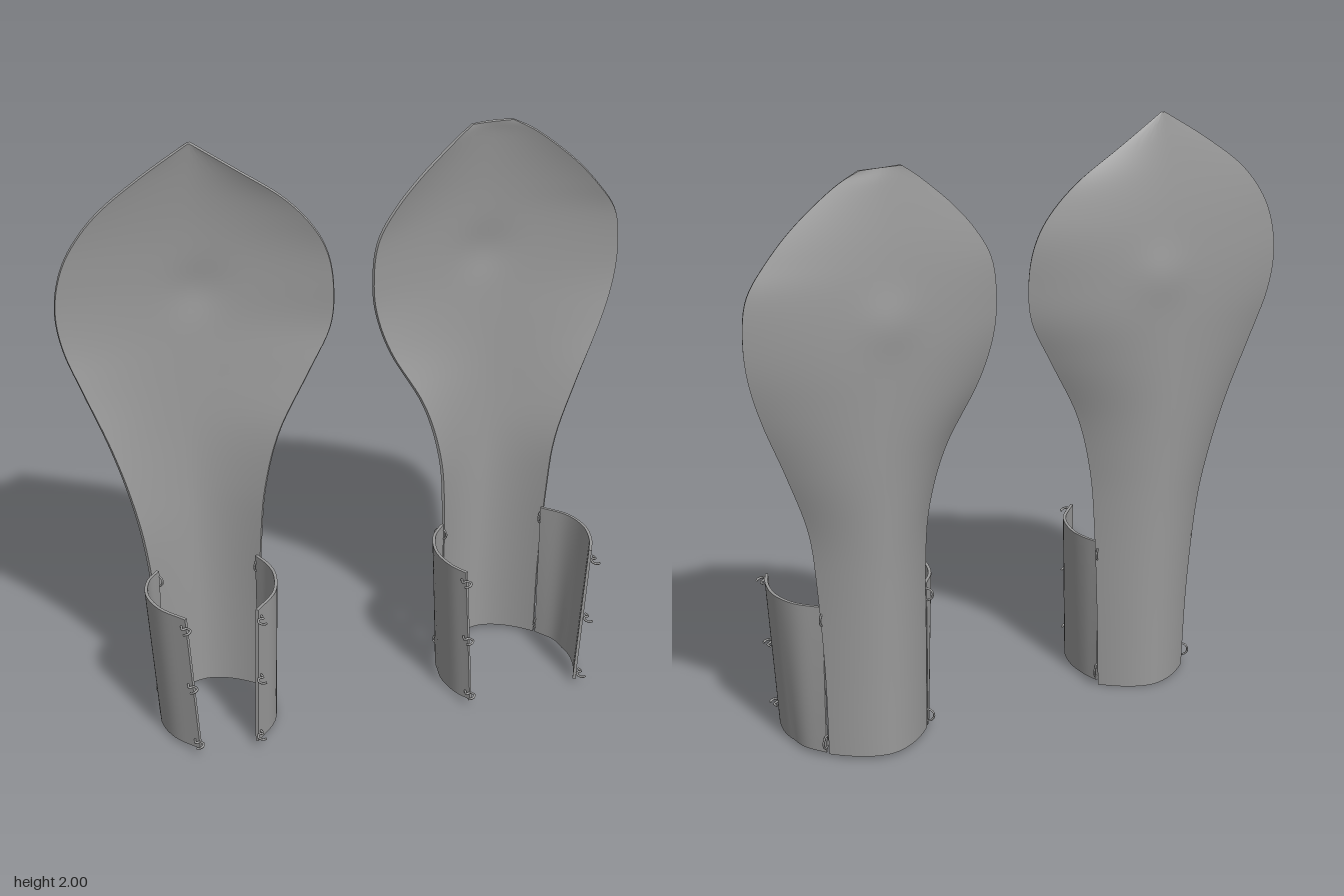
import * as THREE from 'three';
import { toCreasedNormals } from 'three/addons/utils/BufferGeometryUtils.js';

const steel = new THREE.MeshStandardMaterial({ color: 0x999999, side: THREE.DoubleSide });
steel.name = 'grey steel';

const V = (x, y, z) => new THREE.Vector3(x, y, z);

// Curved sheet metal: surface f(u, v) thickened backwards along its normals
function sheet(f, nu, nv, thickness) {
  const pos = [], index = [], w = nu + 1, n = w * (nv + 1);
  for (let j = 0; j <= nv; j++) {
    for (let i = 0; i <= nu; i++) pos.push(...f(i / nu, j / nv).toArray());
  }
  for (let j = 0; j < nv; j++) {
    for (let i = 0; i < nu; i++) {
      const a = j * w + i, b = a + 1, c = a + w, d = c + 1;
      index.push(a, b, d, a, d, c);
    }
  }
  const face = new THREE.BufferGeometry();
  face.setAttribute('position', new THREE.Float32BufferAttribute(pos, 3));
  face.setIndex(index);
  face.computeVertexNormals();
  const normals = face.attributes.normal.array;
  const all = pos.concat(pos.map((p, k) => p - normals[k] * thickness));
  const tris = index.slice();
  for (let k = 0; k < index.length; k += 3) {
    tris.push(index[k] + n, index[k + 2] + n, index[k + 1] + n);
  }
  // Rim joining both faces
  const ring = [];
  for (let i = 0; i < nu; i++) ring.push(i);
  for (let j = 0; j < nv; j++) ring.push(j * w + nu);
  for (let i = nu; i > 0; i--) ring.push(nv * w + i);
  for (let j = nv; j > 0; j--) ring.push(j * w);
  ring.forEach((a, k) => {
    const b = ring[(k + 1) % ring.length];
    tris.push(b, a, a + n, b, a + n, b + n);
  });
  const solid = new THREE.BufferGeometry();
  solid.setAttribute('position', new THREE.Float32BufferAttribute(all, 3));
  solid.setIndex(tris);
  return toCreasedNormals(solid, 0.7);
}

function addMesh(parent, name, geometry) {
  const mesh = new THREE.Mesh(geometry, steel);
  mesh.name = name;
  parent.add(mesh);
  return mesh;
}

// Leaf-shaped plate; rows are [y, leftX, rightX, leftZ, middleZ, rightZ]
function plate(rows, peak) {
  const curve = (x, z) => new THREE.CatmullRomCurve3(
    rows.map(r => V(r[x], r[0], r[z])), false, 'catmullrom', 0.5);
  const low = curve(1, 3), high = curve(2, 5), middle = curve(1, 4);
  return sheet((u, v) => {
    const a = low.getPoint(v), b = high.getPoint(v), mid = middle.getPoint(v).z;
    const s = 2 * u - 1, edge = s < 0 ? a.z : b.z;
    const p = a.clone().lerp(b, u);
    p.z = mid + (edge - mid) * Math.pow(Math.abs(s), 1.8);
    // Shallow raised point in the middle of the blade
    p.z -= 0.01 * Math.exp(-((p.x - peak) ** 2 + (p.y - 1.48) ** 2) / 0.008);
    return p;
  }, 32, 64, 0.01);
}

// Hinged cuff wing with rings and hooks; path holds [x, z] from hinge to front
function addWing(parent, name, path, side, lean) {
  const bottom = 0.012, top = 0.53;
  const curve = new THREE.CatmullRomCurve3(path.map(([x, z]) => V(x, 0, z)));
  const at = (u, y) => {
    const p = curve.getPoint(u);
    const drop = (top - y) / (top - bottom);
    p.x += lean * drop * Math.min(1, u * 2.5);
    p.y = y;
    return p;
  };
  const wing = new THREE.Group();
  wing.name = name;
  parent.add(wing);
  addMesh(wing, 'cuffWing', sheet(
    (u, v) => at(u, bottom + v * (top - bottom)), 20, 6, side < 0 ? 0.01 : -0.01));

  for (const y of [0.05, 0.49]) {
    const ring = addMesh(wing, 'hingeRing', new THREE.TorusGeometry(0.021, 0.0035, 6, 18));
    ring.position.copy(at(0, y));
    ring.rotation.y = side * 0.7;
  }
  for (const y of [0.045, 0.27, 0.5]) {
    const e = at(1, y);
    const hook = new THREE.CatmullRomCurve3([
      [0.012, 0, -0.012], [0.014, 0, 0.008], [0, 0.004, 0.012],
      [-0.008, 0.004, 0.03], [0.004, 0, 0.04], [0.018, -0.004, 0.034],
    ].map(([x, dy, z]) => V(e.x + side * x, y + dy, e.z + z)));
    addMesh(wing, 'claspHook', new THREE.TubeGeometry(hook, 14, 0.004, 6));
  }
}

function addGuard(parent, name, rows, peak, wings) {
  const guard = new THREE.Group();
  guard.name = name;
  parent.add(guard);
  addMesh(guard, 'guardPlate', plate(rows, peak));
  addWing(guard, 'rightWing', wings[0].path, -1, wings[0].lean);
  addWing(guard, 'leftWing', wings[1].path, 1, wings[1].lean);
}

export function createModel() {
  const model = new THREE.Group();
  model.name = 'forearmGuards';

  // Guard with a pointed tip
  addGuard(model, 'pointedGuard', [
    [0.00, -0.670, -0.345, -0.135, -0.215, -0.125],
    [0.30, -0.682, -0.338, -0.135, -0.215, -0.120],
    [0.60, -0.712, -0.328, -0.135, -0.218, -0.110],
    [0.80, -0.750, -0.310, -0.145, -0.224, -0.105],
    [1.00, -0.807, -0.260, -0.160, -0.232, -0.100],
    [1.20, -0.880, -0.158, -0.180, -0.240, -0.100],
    [1.35, -0.932, -0.083, -0.195, -0.245, -0.100],
    [1.48, -0.950, -0.068, -0.200, -0.245, -0.103],
    [1.60, -0.932, -0.082, -0.200, -0.240, -0.113],
    [1.70, -0.885, -0.130, -0.200, -0.232, -0.125],
    [1.80, -0.800, -0.220, -0.198, -0.220, -0.145],
    [1.90, -0.665, -0.360, -0.195, -0.205, -0.168],
    [2.00, -0.508, -0.502, -0.187, -0.187, -0.186],
  ], -0.48, [
    { path: [[-0.685, -0.13], [-0.73, -0.08], [-0.755, 0], [-0.735, 0.1], [-0.67, 0.19]], lean: 0.033 },
    { path: [[-0.338, -0.12], [-0.318, -0.06], [-0.312, 0.01], [-0.345, 0.12], [-0.43, 0.21]], lean: -0.012 },
  ]);

  // Guard with a rounded tip
  addGuard(model, 'roundedGuard', [
    [0.01, 0.335, 0.680, -0.118, -0.215, -0.118],
    [0.30, 0.332, 0.685, -0.116, -0.215, -0.116],
    [0.60, 0.328, 0.702, -0.110, -0.218, -0.110],
    [0.80, 0.312, 0.728, -0.112, -0.224, -0.112],
    [1.00, 0.255, 0.800, -0.122, -0.232, -0.122],
    [1.20, 0.145, 0.885, -0.138, -0.240, -0.138],
    [1.35, 0.095, 0.932, -0.148, -0.245, -0.150],
    [1.48, 0.085, 0.945, -0.150, -0.245, -0.155],
    [1.60, 0.102, 0.930, -0.152, -0.240, -0.157],
    [1.70, 0.160, 0.865, -0.157, -0.232, -0.160],
    [1.80, 0.250, 0.775, -0.166, -0.220, -0.167],
    [1.90, 0.365, 0.655, -0.180, -0.205, -0.180],
    [1.95, 0.430, 0.570, -0.190, -0.194, -0.190],
  ], 0.5, [
    { path: [[0.318, -0.115], [0.265, -0.05], [0.238, 0.05], [0.255, 0.15], [0.288, 0.21]], lean: 0.025 },
    { path: [[0.692, -0.115], [0.76, -0.04], [0.786, 0.05], [0.773, 0.14], [0.742, 0.21]], lean: -0.035 },
  ]);

  return model;
}
